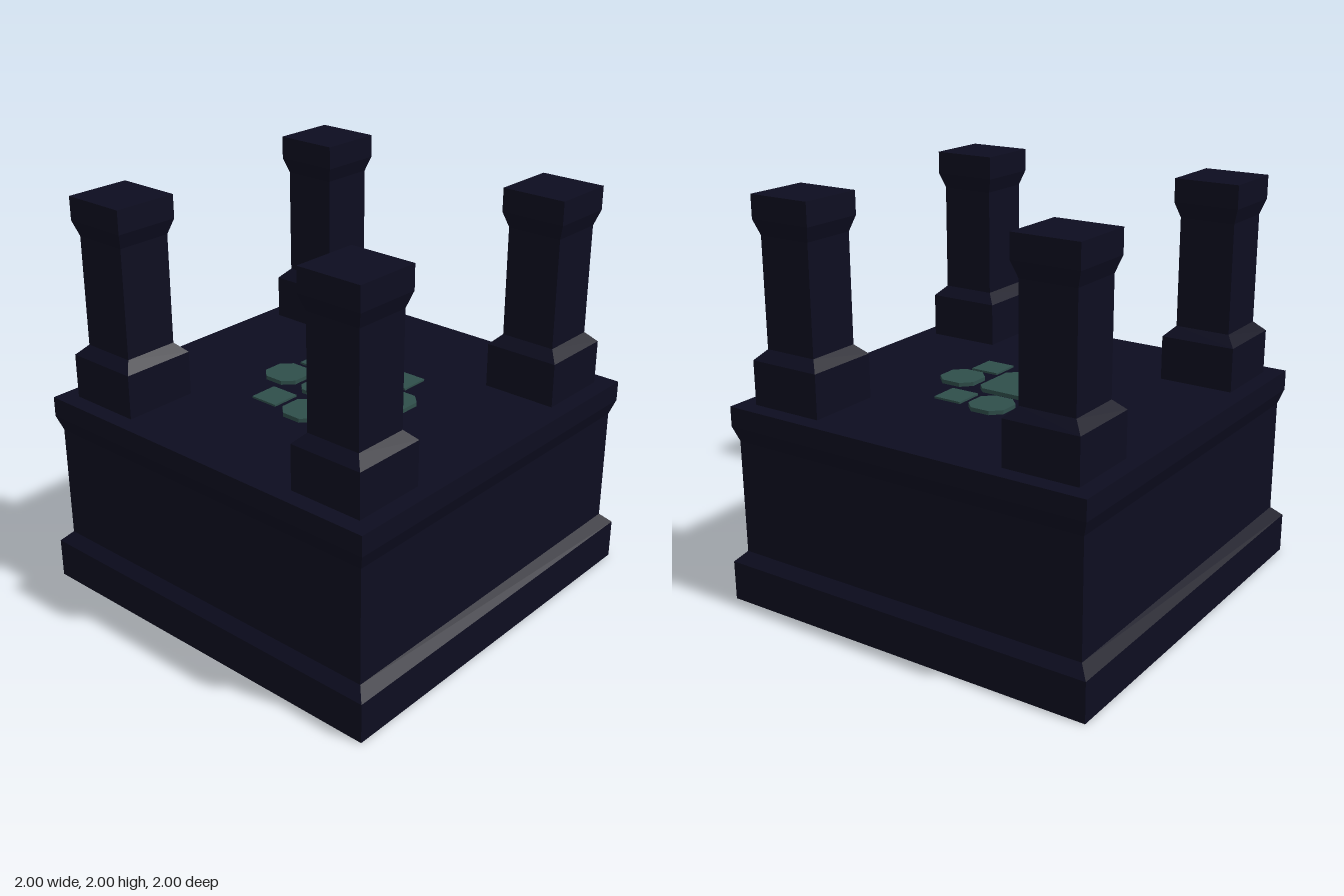
import * as THREE from 'three';

// Square moulded block: profile of [half width, height], bottom to top
function squareBlock(profile) {
  const points = profile.map(([h, y]) => new THREE.Vector2(h * Math.SQRT2, y));
  points.unshift(new THREE.Vector2(0, profile[0][1]));
  points.push(new THREE.Vector2(0, profile[profile.length - 1][1]));
  const geometry = new THREE.LatheGeometry(points, 4, Math.PI / 4).toNonIndexed();
  geometry.computeVertexNormals(); // flat faces
  return geometry;
}

// Flat square slab with cut corners, lying on y = 0
function slab(half, cut, height) {
  const a = half, b = half - cut;
  const corners = [[b, -a], [a, -b], [a, b], [b, a], [-b, a], [-a, b], [-a, -b], [-b, -a]];
  const shape = new THREE.Shape(corners.map(([x, y]) => new THREE.Vector2(x, y)));
  return new THREE.ExtrudeGeometry(shape, { depth: height, bevelEnabled: false }).rotateX(-Math.PI / 2);
}

export function createModel() {
  const model = new THREE.Group();
  model.name = 'pillaredPedestal';
  const darkStone = new THREE.MeshStandardMaterial({ color: 0x0d0d20 });
  darkStone.name = 'darkStone';
  const greenStone = new THREE.MeshStandardMaterial({ color: 0x2f4f4b });
  greenStone.name = 'greenStone';

  const add = (name, geometry, material, x = 0, y = 0, z = 0) => {
    const mesh = new THREE.Mesh(geometry, material);
    mesh.name = name;
    mesh.position.set(x, y, z);
    model.add(mesh);
  };

  // Pedestal with plinth and cornice
  add('pedestal', squareBlock([
    [1, 0], [1, 0.2], [0.95, 0.25], [0.95, 0.825], [0.975, 0.9], [0.975, 1],
  ]), darkStone);

  // Four corner pillars
  const pillar = squareBlock([
    [0.19, 1], [0.19, 1.22], [0.14, 1.27], [0.14, 1.81], [0.165, 1.885], [0.165, 2],
  ]);
  for (const [zName, z] of [['front', 0.7], ['back', -0.7]]) {
    for (const [xName, x] of [['Left', 0.7], ['Right', -0.7]]) {
      add(`${zName}${xName}Pillar`, pillar, darkStone, x, 0, z);
    }
  }

  // Inlaid stones: a centre slab ringed by octagons and small squares
  add('centreSlab', slab(0.15, 0.04, 0.02), greenStone, 0, 1, 0);
  const octagon = slab(0.1, 0.05, 0.02);
  const square = new THREE.BoxGeometry(0.15, 0.01, 0.15);
  for (let i = 0; i < 4; i++) {
    const c = Math.round(Math.cos(i * Math.PI / 2));
    const s = Math.round(Math.sin(i * Math.PI / 2));
    const turn = (x, z) => [x * c - z * s, x * s + z * c];
    const [ox, oz] = turn(-0.05, -0.3);
    const [sx, sz] = turn(0.175, -0.275);
    add(`octagonSlab${i + 1}`, octagon, greenStone, ox, 1, oz);
    add(`squareSlab${i + 1}`, square, greenStone, sx, 1.005, sz);
  }
  return model;
}
